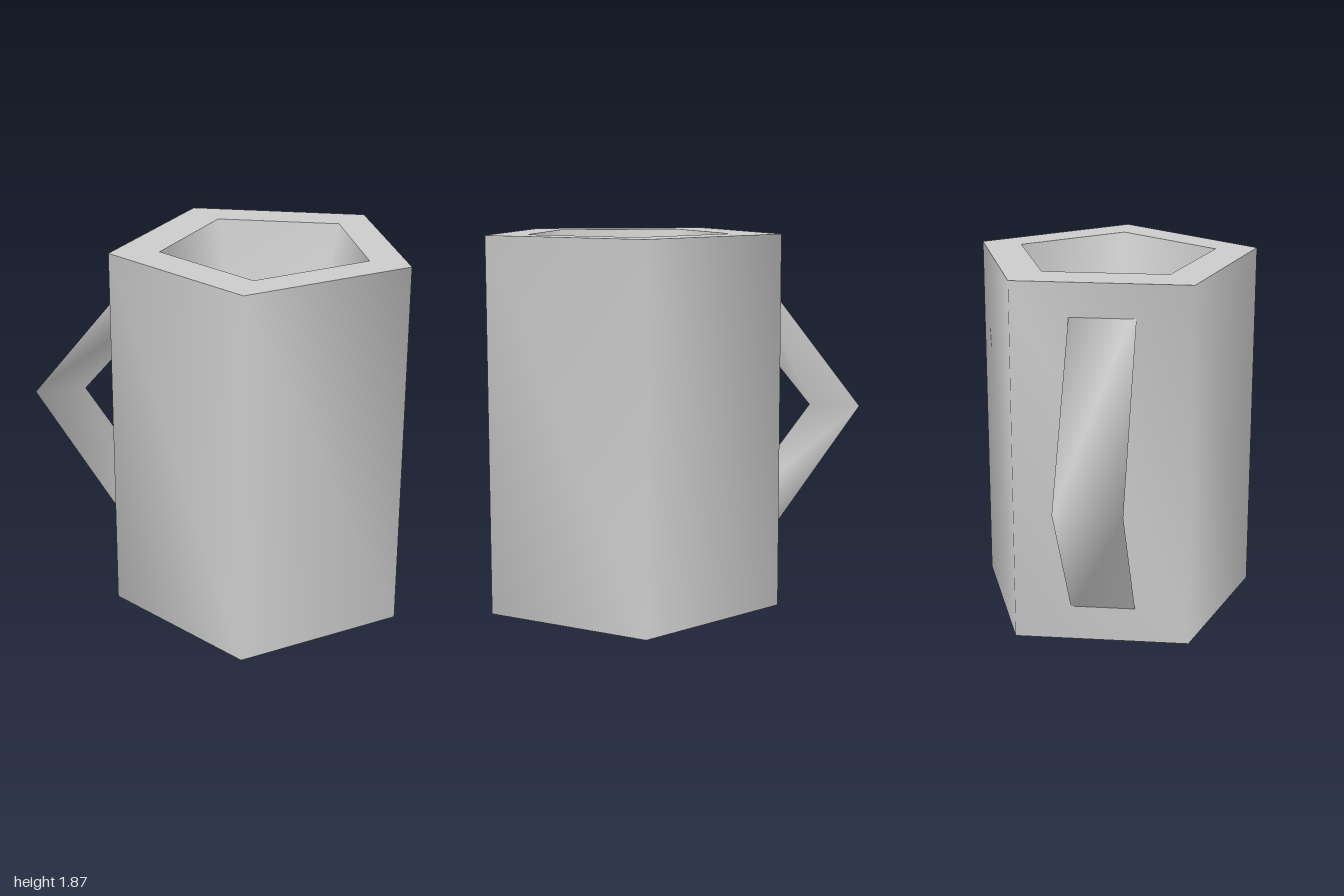
import * as THREE from 'three';
import { mergeVertices } from 'three/addons/utils/BufferGeometryUtils.js';

const HEIGHT = 1.87;
const SIDES = 5;
const OUTER = { r: 0.756, x: 0.245, zScale: 1 };
const INNER = { r: 0.525, x: 0.265, zScale: 1.015, bottom: 0.23 };

export function createModel() {
  const group = new THREE.Group();
  const material = new THREE.MeshStandardMaterial({ color: 0xcccccc });

  const add = (name, geometry) => {
    const mesh = new THREE.Mesh(geometry, material);
    mesh.name = name;
    group.add(mesh);
  };

  // Five-sided turned surface with a corner towards +x
  const turned = (profile, ring) => {
    const points = profile.map(([r, y]) => new THREE.Vector2(r, y));
    const raw = new THREE.LatheGeometry(points, SIDES, Math.PI / 2);
    raw.deleteAttribute('uv');
    raw.deleteAttribute('normal');
    const geometry = mergeVertices(raw, 1e-4);
    geometry.scale(1, 1, ring.zScale).translate(ring.x, 0, 0);
    geometry.computeVertexNormals();
    return geometry;
  };

  const corners = ({ r, x, zScale }) =>
    Array.from({ length: SIDES }, (_, i) => {
      const a = (i / SIDES) * Math.PI * 2;
      return new THREE.Vector2(x + r * Math.cos(a), r * zScale * Math.sin(a));
    });

  // Cup: smooth outer wall, flat base, tapering hollow
  add('outerWall', turned([[OUTER.r, 0], [OUTER.r, HEIGHT]], OUTER));
  add('base', turned([[0, 0], [OUTER.r, 0]], OUTER));
  add('hollow', turned([[INNER.r, HEIGHT], [0, INNER.bottom]], INNER));

  // Flat rim between the two pentagons
  const rim = new THREE.Shape(corners(OUTER));
  rim.holes.push(new THREE.Path(corners(INNER)));
  add('rim', new THREE.ShapeGeometry(rim).rotateX(-Math.PI / 2).translate(0, HEIGHT, 0));

  // Handle: triangular section, flat outside and ridged inside, bent once
  const midY = 0.94;
  const stations = [
    { outerX: -0.3, innerX: -0.3, outerY: 0.838, innerY: 0.565 },
    { outerX: -1, innerX: -0.79, outerY: 0, innerY: 0 },
    { outerX: -0.3, innerX: -0.3, outerY: -0.838, innerY: -0.565 },
  ];
  const positions = [];
  const indices = [];
  stations.forEach((s, k) => {
    positions.push(s.outerX, midY + s.outerY, -0.157);
    positions.push(s.outerX, midY + s.outerY, 0.17);
    positions.push(s.innerX, midY + s.innerY, 0.007);
    if (k === 0) return;
    for (let i = 0; i < 3; i++) {
      const j = (i + 1) % 3;
      const a = (k - 1) * 3;
      const b = k * 3;
      indices.push(a + i, b + i, a + j, a + j, b + i, b + j);
    }
  });
  const handle = new THREE.BufferGeometry();
  handle.setAttribute('position', new THREE.Float32BufferAttribute(positions, 3));
  handle.setIndex(indices);
  handle.computeVertexNormals();
  add('handle', handle);

  return group;
}
